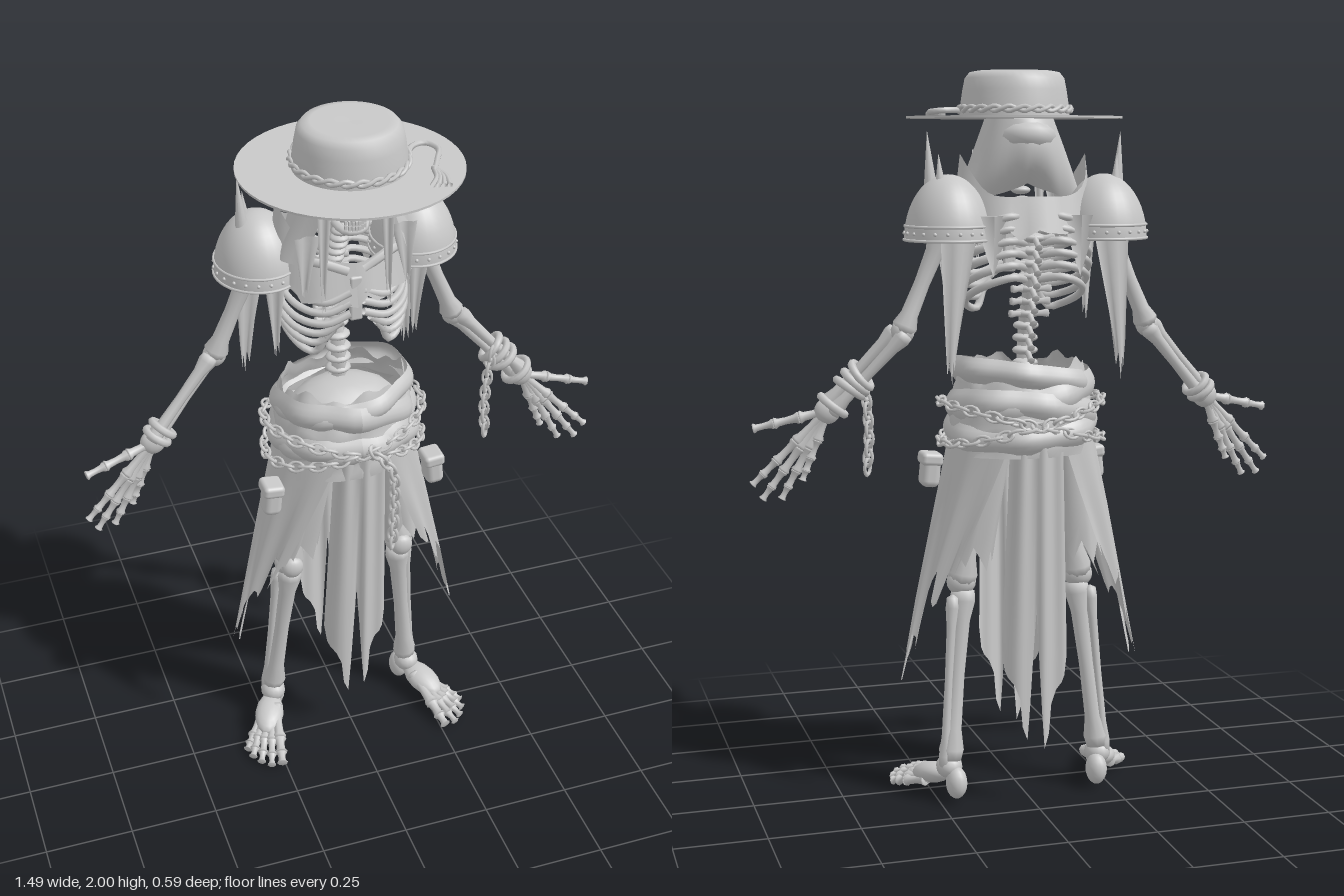
import * as THREE from 'three';
import { RoundedBoxGeometry } from 'three/addons/geometries/RoundedBoxGeometry.js';

const V = (x, y, z) => new THREE.Vector3(x, y, z);
const UP = V(0, 1, 0);

export function createModel() {
  const model = new THREE.Group();
  const grey = new THREE.MeshStandardMaterial({ color: 0xc8c8c8, side: THREE.DoubleSide });
  grey.name = 'plainGrey';

  let seed = 7;
  const rnd = () => (seed = (seed * 16807) % 2147483647) / 2147483647;

  const add = (name, geo, parent = model) => {
    const m = new THREE.Mesh(geo, grey);
    m.name = name;
    parent.add(m);
    return m;
  };
  const ball = (name, p, rx, ry = rx, rz = rx) => {
    const m = add(name, new THREE.SphereGeometry(1, 14, 10));
    m.position.copy(p);
    m.scale.set(rx, ry, rz);
    return m;
  };
  // Bone with knobbed ends running from a to b
  const bone = (name, a, b, r, sides = 8) => {
    const L = a.distanceTo(b);
    const prof = [[0, -0.02], [1.2, 0], [1.35, 0.06], [0.95, 0.18], [0.8, 0.5], [0.9, 0.82], [1.3, 0.94], [1.1, 1], [0, 1.02]];
    const m = add(name, new THREE.LatheGeometry(prof.map(([x, y]) => new THREE.Vector2(x * r, y * L)), sides));
    m.position.copy(a);
    m.quaternion.setFromUnitVectors(UP, b.clone().sub(a).normalize());
  };
  const tube = (name, pts, r, seg = 20, closed = false) =>
    add(name, new THREE.TubeGeometry(new THREE.CatmullRomCurve3(pts, closed), seg, r, 6, closed));
  // Sheet whose points follow fn(u, v, column)
  const cloth = (name, cols, rows, fn) => {
    const g = new THREE.PlaneGeometry(1, 1, cols, rows), p = g.attributes.position;
    for (let i = 0; i < p.count; i++) {
      const c = i % (cols + 1), r = Math.floor(i / (cols + 1));
      p.setXYZ(i, ...fn(c / cols, r / rows, c));
    }
    g.computeVertexNormals();
    return add(name, g);
  };
  const chain = (name, pts, count, r, closed = false) => {
    const curve = new THREE.CatmullRomCurve3(pts, closed), grp = new THREE.Group();
    grp.name = name;
    const geo = new THREE.TorusGeometry(r, r * 0.3, 6, 12);
    geo.scale(1.35, 0.85, 1);
    for (let i = 0; i < count; i++) {
      const t = i / (closed ? count : count - 1), m = add('link', geo, grp);
      m.position.copy(curve.getPointAt(t));
      m.quaternion.setFromUnitVectors(V(1, 0, 0), curve.getTangentAt(t));
      m.rotateX(i % 2 ? 0.8 : -0.8);
    }
    model.add(grp);
  };
  const oval = (cy, cz, rx, rz, tilt = 0, n = 20) => Array.from({ length: n }, (_, i) => {
    const a = i / n * Math.PI * 2;
    return V(Math.sin(a) * rx, cy + tilt * Math.sin(a), cz + Math.cos(a) * rz);
  });

  // Hat
  const brim = add('hatBrim', new THREE.CylinderGeometry(0.293, 0.293, 0.006, 48));
  brim.position.set(0, 1.876, -0.003);
  add('hatCrown', new THREE.LatheGeometry(
    [[0.15, 1.876], [0.147, 1.91], [0.141, 1.95], [0.135, 1.98], [0.122, 1.996], [0.1, 2], [0, 1.997]]
      .map(([x, y]) => new THREE.Vector2(x, y)), 40)).position.z = -0.005;
  for (const k of [0, 1]) {
    tube('hatCord', Array.from({ length: 48 }, (_, i) => {
      const a = i / 48 * Math.PI * 2, w = a * 12 + k * Math.PI, r = 0.15 + 0.004 * Math.cos(w);
      return V(Math.sin(a) * r, 1.898 + 0.007 * Math.sin(w), -0.008 + Math.cos(a) * (r + 0.005));
    }), 0.006, 120, true);
  }
  tube('cordLoop', [V(0.14, 1.89, 0.04), V(0.17, 1.895, -0.02), V(0.215, 1.893, -0.035), V(0.235, 1.89, 0.0), V(0.21, 1.89, 0.06), V(0.18, 1.89, 0.12)], 0.008);
  for (let i = 0; i < 4; i++) tube('tassel', [V(0.185, 1.89, 0.1), V(0.175 + i * 0.008, 1.888, 0.15), V(0.15 + i * 0.014, 1.886, 0.185 + 0.004 * i)], 0.007, 8);

  // Skull, with the sockets and nose pushed in
  const skullGeo = new THREE.SphereGeometry(1, 40, 32), sp = skullGeo.attributes.position;
  for (let i = 0; i < sp.count; i++) {
    const p = V(sp.getX(i), sp.getY(i), sp.getZ(i));
    const x = p.x * 0.062, y = p.y * 0.072;
    let z = p.z * 0.085;
    if (p.z > 0.2) {
      const dent = (cx, cy, r, d) => { z -= d * Math.exp(-((x - cx) ** 2 + (y - cy) ** 2) / (r * r)); };
      dent(0.026, -0.008, 0.015, 0.04);
      dent(-0.026, -0.008, 0.015, 0.04);
      dent(0, -0.034, 0.009, 0.025);
    }
    sp.setXYZ(i, x, y, z);
  }
  skullGeo.computeVertexNormals();
  add('skull', skullGeo).position.set(0, 1.805, -0.03);
  ball('upperJaw', V(0, 1.752, 0.015), 0.034, 0.022, 0.035);
  tube('jaw', [V(-0.05, 1.79, -0.04), V(-0.045, 1.735, -0.02), V(-0.025, 1.712, 0.03), V(0.025, 1.712, 0.03), V(0.045, 1.735, -0.02), V(0.05, 1.79, -0.04)], 0.012);
  for (let i = -3; i <= 3; i++) for (const y of [1.739, 1.725]) {
    add('tooth', new THREE.BoxGeometry(0.007, 0.012, 0.008)).position.set(i * 0.0085, y, 0.05 - i * i * 0.0015);
  }

  // Hood: round behind the head, its sides draped to the shoulders
  cloth('hood', 36, 14, (u, v) => {
    const a = (u - 0.5) * 4.7, f = -Math.cos(a), side = Math.abs(Math.sin(a / 1.5));
    const rx = 0.08 + 0.1 * v * side, back = 0.1 + 0.035 * Math.sin(v * 2.6) - 0.05 * v * v;
    const fold = 1 + 0.03 * Math.sin(a * 9) * v;
    return [Math.sin(a) * rx * fold * 1.1, 1.872 - v * (0.17 + 0.07 * side), -0.06 + f * (f < 0 ? back : 0.17 - 0.03 * v) * fold];
  });
  const cap = ball('hoodTop', V(0, 1.82, -0.085), 0.088, 0.055, 0.108);
  cap.rotation.x = 0.1;

  // Collar and ragged chest cloth, standing up at the sides and notched at the throat
  const hem = Array.from({ length: 49 }, () => rnd());
  cloth('collar', 48, 8, (u, v, c) => {
    const a = u * Math.PI * 2, s = Math.sin(a), f = Math.cos(a);
    const top = 1.65 + 0.13 * s ** 6 + 0.02 * Math.max(0, -f) - 0.03 * Math.max(0, f) ** 8;
    const bot = 1.55 - 0.05 * Math.max(0, f) + 0.035 * hem[c % 48], k = 1 + 0.02 * Math.sin(a * 8);
    return [s * (0.175 + 0.025 * v) * k, top + (bot - top) * v, -0.085 + f * (0.125 + 0.025 * v) * k];
  });
  for (let i = 0; i < 7; i++) {
    ball('neckVertebra', V(0, 1.71 - i * 0.027, -0.05 - i * 0.014), 0.027, 0.012, 0.025);
  }

  // Spine, with wings only on the ribbed part
  for (let i = 0; i < 12; i++) {
    const y = 1.56 - i * 0.034, z = -0.105 - 0.07 * Math.max(0, Math.sin((y - 1.3) * 5));
    ball('vertebra', V(0, y, z), 0.036, 0.014, 0.032);
    bone('spine', V(0, y, z - 0.02), V(0, y - 0.025, z - 0.06), 0.009, 6);
    if (i < 7) bone('spineWing', V(-0.055, y, z - 0.015), V(0.055, y, z - 0.015), 0.009, 6);
  }
  tube('spineCore', [V(0, 1.6, -0.16), V(0, 1.45, -0.16), V(0, 1.3, -0.105), V(0, 1.12, -0.1)], 0.022);
  add('breastbone', new RoundedBoxGeometry(0.036, 0.13, 0.016, 2, 0.007)).position.set(0, 1.52, 0.045);

  for (const s of [1, -1]) {
    const P = (x, y, z) => V(s * x, y, z);

    // Ribs slope down to the sides, the lower ones stopping short
    for (let i = 0; i < 6; i++) {
      const y = 1.61 - i * 0.032, w = 0.145 + 0.03 * Math.sin((i + 1) / 7 * Math.PI), low = Math.max(0, i - 2);
      tube('rib', [P(0.02, y, -0.17), P(0.07, y + 0.008, -0.215), P(w - 0.025, y - 0.015, -0.18), P(w, y - 0.05, -0.09),
        P(w - 0.025, y - 0.082, -0.005), P(0.085 + low * 0.006, y - 0.09, 0.045 - low * 0.01),
        P(0.018 + low * 0.02, y - 0.065 + low * 0.01, 0.054 - low * 0.007)], 0.0105, 28);
    }
    tube('collarbone', [P(0.02, 1.6, 0.04), P(0.1, 1.63, 0.02), P(0.23, 1.61, -0.1)], 0.013);
    const blade = add('shoulderBlade', new THREE.ConeGeometry(0.06, 0.16, 3));
    blade.position.set(s * 0.12, 1.54, -0.215);
    blade.scale.z = 0.2;
    blade.rotation.x = Math.PI;

    // Shoulder pad with rim, rivets and horns
    const pad = add('shoulderPad', new THREE.SphereGeometry(1, 28, 12, 0, Math.PI * 2, 0, Math.PI / 2));
    pad.position.copy(P(0.217, 1.552, -0.12));
    pad.scale.set(0.117, 0.175, 0.127);
    for (const [y, k] of [[1.556, 1], [1.592, 0.98]]) {
      tube('padRim', oval(y, -0.12, 0.117 * k, 0.127 * k).map(p => p.setX(p.x + s * 0.217)), 0.004, 40, true);
    }
    for (const p of oval(1.574, -0.12, 0.116, 0.126, 0, 22)) ball('rivet', V(p.x + s * 0.217, p.y, p.z), 0.005);
    for (const [x, z, h, r] of [[0.265, -0.105, 0.15, 0.018], [0.245, -0.14, 0.09, 0.015]]) {
      const horn = add('padHorn', new THREE.ConeGeometry(r, h, 10));
      horn.position.set(s * x, 1.692 + h / 2, z);
      horn.rotation.z = -s * 0.06;
    }

    // Ragged strips hanging from hood and shoulder
    const strip = (name, x, y, z, w, len, lean, dz = 0) => cloth(name, 6, 8, (u, v, c) => {
      const l = len * (0.7 + 0.3 * [0.2, 0.7, 0.4, 1, 0.5, 0.8, 0.1][c]);
      return [s * (x + (u - 0.5) * w * (1 - 0.7 * v) + lean * v), y - l * v, z + dz * v + 0.006 * Math.sin(u * 9)];
    });
    strip('hoodStrip', 0.085, 1.79, 0.045, 0.04, 0.33, 0.005);
    strip('hoodStrip', 0.13, 1.72, 0.045, 0.07, 0.18, 0.01);
    strip('shoulderStrip', 0.21, 1.58, -0.205, 0.1, 0.4, 0.025, -0.01);
    strip('shoulderStrip', 0.2, 1.58, -0.02, 0.06, 0.26, -0.005, -0.02);

    // Arm
    const elbow = P(0.345, 1.315, -0.125), wrist = P(0.54, 1.105, -0.075);
    ball('shoulderJoint', P(0.235, 1.58, -0.12), 0.038);
    bone('upperArm', P(0.235, 1.57, -0.12), elbow, 0.026, 10);
    ball('elbow', elbow, 0.033, 0.033, 0.028);
    bone('forearm', P(0.34, 1.31, -0.14), P(0.53, 1.1, -0.085), 0.018);
    bone('forearm', P(0.36, 1.32, -0.11), P(0.545, 1.118, -0.065), 0.018);
    ball('wrist', wrist, 0.036, 0.036, 0.024);
    [[0.735, 1.06, -0.04], [0.74, 0.91, -0.045], [0.715, 0.87, -0.05], [0.665, 0.87, -0.06], [0.61, 0.92, -0.07]].forEach((t, i) => {
      const tip = P(...t), stops = i ? [0, 0.42, 0.68, 0.86, 1] : [0, 0.38, 0.72, 1];
      for (let k = 1; k < stops.length; k++) {
        bone('finger', wrist.clone().lerp(tip, stops[k - 1]), wrist.clone().lerp(tip, stops[k]), 0.0155 - 0.0016 * k, 7);
      }
    });

    // Wrist bindings, heavier on the left
    for (const t of s > 0 ? [0.55, 0.63, 0.71, 0.93] : [0.84, 0.93]) {
      const cuff = add('wristBinding', new THREE.TorusGeometry(s > 0 ? 0.04 : 0.034, 0.011, 7, 18));
      cuff.position.copy(elbow).lerp(wrist, t);
      cuff.quaternion.setFromUnitVectors(V(0, 0, 1), wrist.clone().sub(elbow).normalize());
      cuff.rotateX(Math.sin(t * 30) * 0.3);
    }

    // Leg
    const knee = P(0.17, 0.61, -0.06), ankle = P(0.215, 0.115, -0.105);
    ball('hip', P(0.1, 1.0, -0.07), 0.045);
    bone('thigh', P(0.1, 1.0, -0.07), knee, 0.033, 10);
    ball('kneecap', P(0.168, 0.615, -0.025), 0.032, 0.034, 0.022);
    ball('knee', knee, 0.042, 0.038, 0.036);
    bone('shin', P(0.165, 0.585, -0.06), ankle, 0.027, 10);
    bone('calfBone', P(0.2, 0.57, -0.08), P(0.235, 0.1, -0.115), 0.014);
    ball('ankle', P(0.218, 0.095, -0.1), 0.037, 0.034, 0.04);
    ball('heel', P(0.205, 0.055, -0.13), 0.03, 0.045, 0.036);
    const instep = ball('instep', P(0.25, 0.058, -0.035), 0.043, 0.03, 0.075);
    instep.rotation.set(0.25, s * 0.4, 0);
    [[0.262, 0.14], [0.295, 0.138], [0.32, 0.115], [0.338, 0.085], [0.345, 0.05]].forEach(([x, z], i) => {
      const a = P(0.225 + i * 0.012, 0.07 - i * 0.007, -0.05), b = P(x, 0.014, z), r = i ? 0.013 : 0.016;
      const mid = a.clone().lerp(b, 0.58), tip = a.clone().lerp(b, 0.82);
      bone('footBone', a, mid, r);
      bone('toe', mid, tip, r * 0.95);
      bone('toe', tip, b, r * 0.8);
    });

    // Ragged side of the skirt, drawing in to the outside as it falls
    const cols = 36, teeth = Array.from({ length: cols + 1 }, (_, c) => (c % 6 < 3 ? 0.1 : 0) + rnd() * 0.09);
    cloth('skirtSide', cols, 14, (u, v, c) => {
      const out = Math.sin(u * Math.PI);
      const end = 0.68 - 0.28 * out ** 2 - (teeth[c] - 0.1), y = 1.06 + (end - 1.06) * v, d = 1.06 - y;
      const a = Math.PI / 2 + (u - 0.5) * (2.5 - 1.6 * Math.min(1, d * 1.7)), k = 1 + 0.025 * Math.sin(u * 26) * Math.min(1, d * 4);
      return [s * Math.sin(a) * (0.195 + 0.2 * d) * k, y, -0.065 + Math.cos(a) * (0.165 - 0.05 * d) * k];
    });
    // Legging over the thigh
    cloth('legging', 20, 6, (u, v, c) => {
      const a = u * Math.PI * 2, y = 1.02 - v * (0.3 + 0.09 * ((c % 20) * 7 % 5) / 5);
      return [s * (0.1 + 0.055 * v) + Math.sin(a) * 0.07, y, -0.06 + Math.cos(a) * (0.13 - 0.055 * v)];
    });

    // Pouch
    const pouch = add('pouch', new RoundedBoxGeometry(0.052, 0.09, 0.064, 3, 0.018));
    pouch.position.copy(P(0.238, 0.912, 0.018));
    pouch.rotation.z = s * 0.1;
    const flap = add('pouchFlap', new RoundedBoxGeometry(0.06, 0.036, 0.072, 3, 0.012));
    flap.position.copy(P(0.236, 0.946, 0.018));
    flap.rotation.z = s * 0.1;
  }

  // Waist wrap with a torn top edge, and flat sashes wound around it
  cloth('waistWrap', 64, 12, (u, v) => {
    const a = u * Math.PI * 2, k = 1 + 0.015 * Math.sin(v * 22 + 2 * Math.sin(a * 2)) + 0.01 * Math.sin(a * 12);
    const y = 1.215 + (0.014 * Math.sin(a * 5) + 0.01 * Math.sin(a * 13)) * (1 - v) - v * 0.24, b = Math.sin(Math.min(v * 1.5, 1) * 1.57);
    return [Math.sin(a) * (0.17 + 0.03 * b) * k, y, -0.068 + Math.cos(a) * (0.125 + 0.04 * b) * k];
  });
  ball('pelvis', V(0, 1.1, -0.07), 0.168, 0.105, 0.125);
  for (const [y, t, h] of [[1.18, 0.028, 0.07], [1.135, -0.035, 0.085], [1.085, 0.035, 0.08], [1.045, -0.025, 0.075]]) {
    cloth('sash', 60, 6, (u, v) => {
      const a = u * Math.PI * 2, out = 0.018 * Math.sin(v * Math.PI) + 0.005 * Math.sin(a * 7 + y * 90) + (1.19 - y) * 0.14;
      return [Math.sin(a) * (0.176 + out), y + t * Math.sin(a + y * 5) + (0.5 - v) * h, -0.068 + Math.cos(a) * (0.137 + out * 1.15)];
    });
  }
  for (const t of [0.055, -0.055]) chain('waistChain', oval(1.06, -0.068, 0.225, 0.175, t), 40, 0.016, true);

  // Long front and back panels ending in torn points
  for (const [name, z0, z1] of [['frontPanel', 0.1, 0.055], ['backPanel', -0.235, -0.215]]) {
    cloth(name, 24, 16, (u, v, c) => {
      const x = (u - 0.5) * 2, ends = [0.42, 0.36, 0.34, 0.33, 0.32, 0.3, 0.28, 0.2, 0.18, 0.16, 0.26, 0.4, 0.55];
      const end = ends[c <= 12 ? c : 24 - c] + (c > 12 ? 0.025 : 0), y = 1.04 + (end - 1.04) * v;
      const spread = 0.072 + 0.02 * Math.min(1, (1.04 - y) * 1.6);
      return [x * spread, y, z0 + (z1 - z0) * v - Math.sign(z0) * 0.02 * x * x + 0.006 * Math.sin(x * 8)];
    });
  }

  // Hanging chains
  chain('frontChain', [V(0.03, 1.07, 0.12), V(0.08, 1.0, 0.122), V(0.093, 0.9, 0.11), V(0.09, 0.74, 0.105)], 15, 0.017);
  chain('wristChain', [V(0.44, 1.2, -0.06), V(0.43, 1.12, -0.06), V(0.425, 1.03, -0.06), V(0.43, 0.945, -0.06)], 11, 0.0165);

  return model;
}
